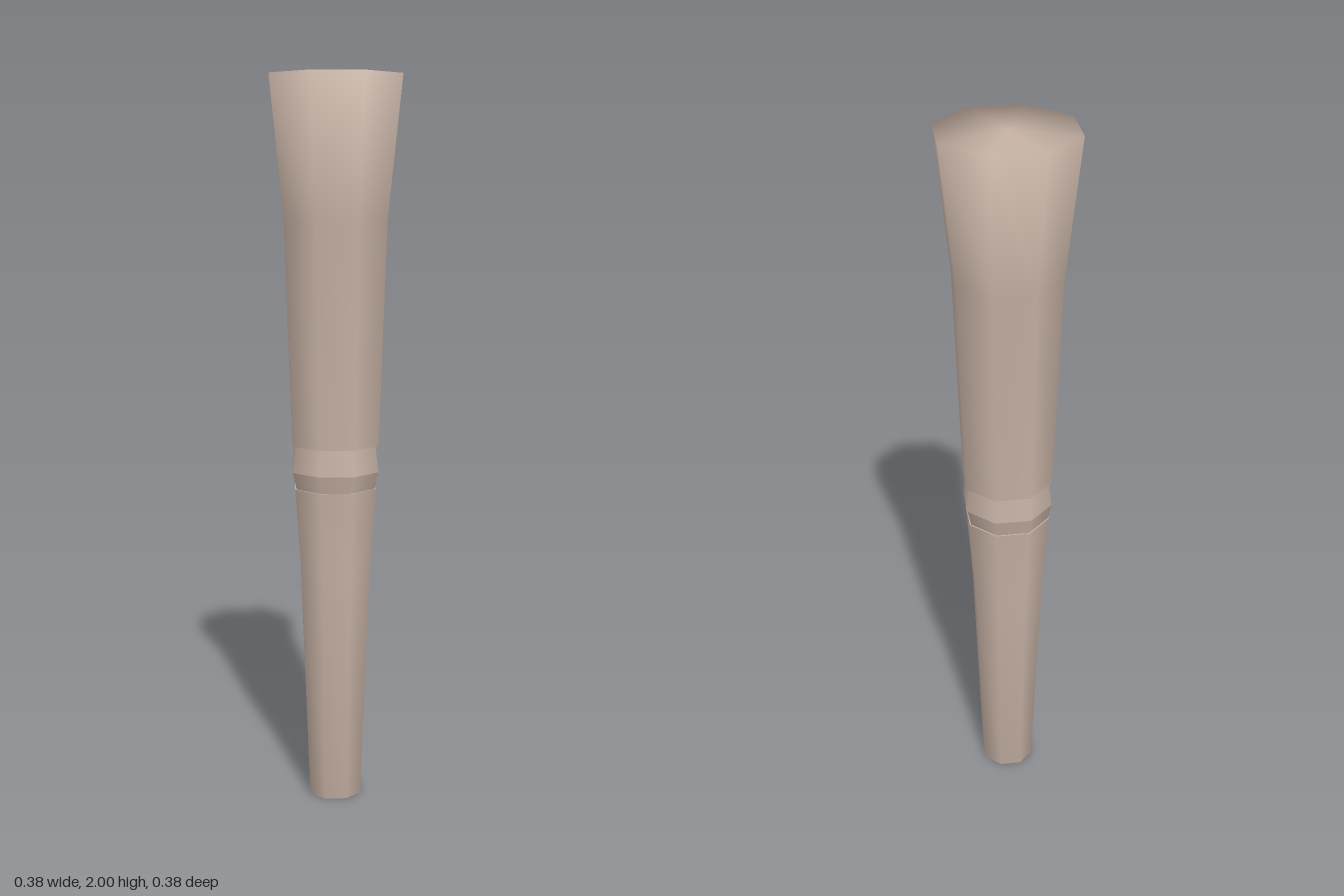
import * as THREE from 'three';

export function createModel() {
  const group = new THREE.Group();
  const paleWood = new THREE.MeshStandardMaterial({ color: 0xc6b1a4 });
  paleWood.name = 'paleWood';

  // Eight-sided turned part; the profile runs bottom to top as [radius, y]
  const turned = (name, profile) => {
    const points = profile.map(([r, y]) => new THREE.Vector2(r, y));
    const mesh = new THREE.Mesh(new THREE.LatheGeometry(points, 8), paleWood);
    mesh.name = name;
    group.add(mesh);
  };

  // Narrow lower shaft with a closed foot
  turned('lowerShaft', [[0, 0], [0.077, 0], [0.103, 0.66], [0.12, 0.89]]);

  // Collar: a shallow ridge with crisp edges
  turned('collarLowerBevel', [[0.116, 0.89], [0.127, 0.937]]);
  turned('collarUpperBevel', [[0.127, 0.937], [0.118, 1.01]]);

  // Small ledges closing the steps beside the collar
  turned('lowerLedge', [[0.12, 0.89], [0.116, 0.89]]);
  turned('upperLedge', [[0.118, 1.01], [0.127, 1.01]]);

  // Flared upper shaft with a softly shaded top
  turned('upperShaft', [[0.127, 1.01], [0.149, 1.62], [0.19, 2], [0, 2]]);

  return group;
}
